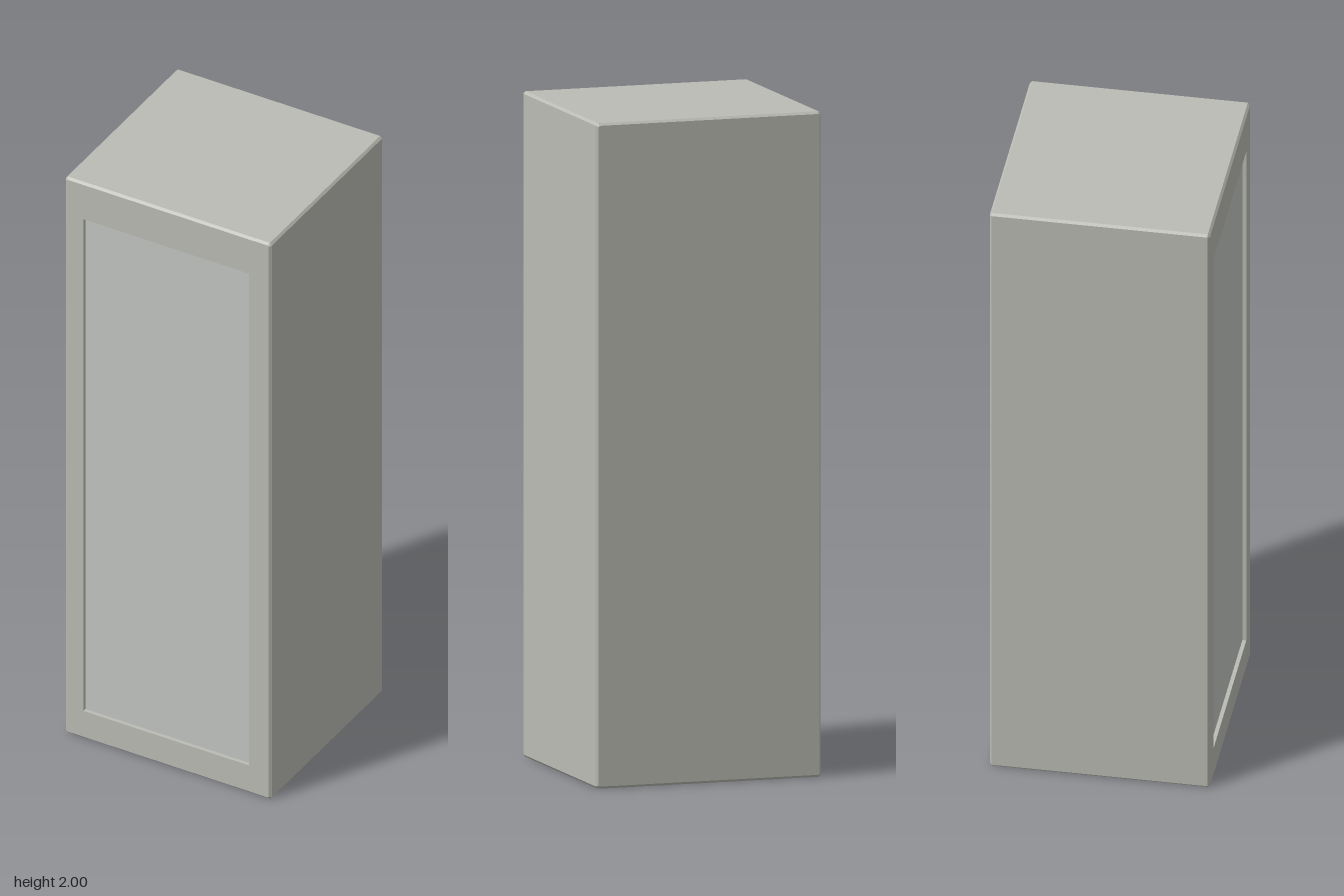
import * as THREE from 'three';

const bodyMaterial = new THREE.MeshStandardMaterial({ color: 0xbcbcb5 });
bodyMaterial.name = 'warm grey body';
const panelMaterial = new THREE.MeshStandardMaterial({ color: 0xc3c5c1 });
panelMaterial.name = 'light grey panel';

// Rectangle with chamfered corners, counter-clockwise seen from the front
function loop([x0, x1, y0, y1], c, z) {
  return [
    [x0 + c, y0], [x1 - c, y0], [x1, y0 + c], [x1, y1 - c],
    [x1 - c, y1], [x0 + c, y1], [x0, y1 - c], [x0, y0 + c],
  ].map(([x, y]) => [x, y, z]);
}

// Joins successive loops with flat-shaded quads
function loft(loops) {
  const positions = [];
  for (let k = 0; k < loops.length - 1; k++) {
    const a = loops[k], b = loops[k + 1];
    for (let i = 0; i < a.length; i++) {
      const j = (i + 1) % a.length;
      positions.push(...a[i], ...a[j], ...b[j], ...a[i], ...b[j], ...b[i]);
    }
  }
  const geometry = new THREE.BufferGeometry();
  geometry.setAttribute('position', new THREE.Float32BufferAttribute(positions, 3));
  geometry.computeVertexNormals();
  return geometry;
}

export function createModel() {
  const group = new THREE.Group();
  group.name = 'cabinet';

  const bevel = 0.007, halfDepth = 0.332, recess = 0.012;
  const outer = [-0.354, 0.354, 0, 2];
  const inset = [outer[0] + bevel, outer[1] - bevel, bevel, 2 - bevel];
  const opening = [-0.29, 0.28, 0.1, 1.87];
  const panelZ = halfDepth - recess;

  // Bevelled block with a shallow recess in the front
  const body = new THREE.Mesh(loft([
    loop([0, 0, 1, 1], 0, -halfDepth),
    loop(inset, bevel / 2, -halfDepth),
    loop(outer, bevel, -halfDepth + bevel),
    loop(outer, bevel, halfDepth - bevel),
    loop(inset, bevel / 2, halfDepth),
    loop(opening, 0, halfDepth),
    loop(opening, 0, panelZ),
  ]), bodyMaterial);
  body.name = 'body';
  group.add(body);

  // Flat panel closing the recess
  const [x0, x1, y0, y1] = opening;
  const panel = new THREE.Mesh(new THREE.PlaneGeometry(x1 - x0, y1 - y0), panelMaterial);
  panel.position.set((x0 + x1) / 2, (y0 + y1) / 2, panelZ);
  panel.name = 'frontPanel';
  group.add(panel);

  return group;
}
